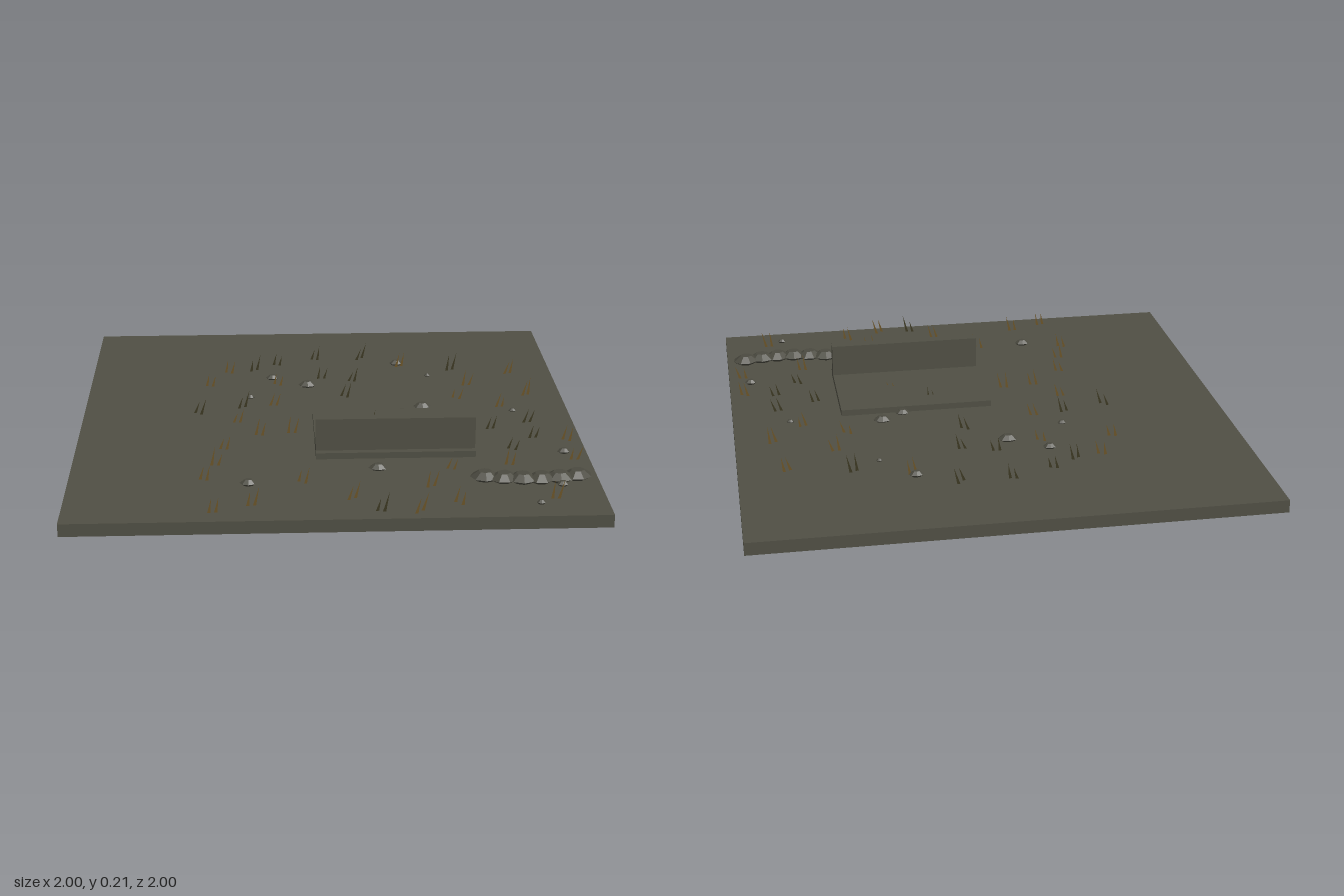
import * as THREE from 'three';

const mat = (name, color, extra = {}) => {
  const m = new THREE.MeshStandardMaterial({ color, ...extra });
  m.name = name;
  return m;
};

export function createModel() {
  const model = new THREE.Group();
  const earth = mat('earth', 0x504f44);
  const concrete = mat('concrete', 0x504f44);
  const stone = mat('stone', 0x4b4a40, { flatShading: true });
  const dryGrass = mat('dryGrass', 0x6b5428, { side: THREE.DoubleSide });
  const darkGrass = mat('darkGrass', 0x3c3822, { side: THREE.DoubleSide });

  const add = (name, geometry, material, x, y, z) => {
    const mesh = new THREE.Mesh(geometry, material);
    mesh.name = name;
    mesh.position.set(x, y, z);
    model.add(mesh);
    return mesh;
  };

  // Ground slab with a very shallow rise
  const top = 0.05;
  add('groundSlab', new THREE.BoxGeometry(2, top, 2), earth, 0, top / 2, 0);
  const rise = [[0.78, 0], [0.6, 0.003], [0.3, 0.005], [0, 0.006]].map(p => new THREE.Vector2(...p));
  add('shallowRise', new THREE.LatheGeometry(rise, 40), earth, 0.18, top, 0.175);

  // Low platform and the wall standing on it
  add('platform', new THREE.BoxGeometry(0.62, 0.03, 0.45), concrete, 0.25, 0.065, 0.247);
  add('wall', new THREE.BoxGeometry(0.62, 0.13, 0.045), concrete, 0.25, 0.145, 0.423);

  // Squat faceted lump shared by the stones and the row of bags
  const lump = new THREE.LatheGeometry(
    [[0, 0], [0.6, 0], [1, 0.4], [0.45, 1], [0, 1]].map(p => new THREE.Vector2(...p)), 8);
  const addLump = (name, x, z, rx, rz, h, turn) => {
    const mesh = add(name, lump, stone, x, top, z);
    mesh.scale.set(rx, h, rz);
    mesh.rotation.y = turn;
  };

  // Scattered stones: x, z, radius
  [[0.33, -0.57, 0.03], [0.455, -0.42, 0.013], [-0.22, -0.41, 0.028], [-0.07, -0.315, 0.04],
   [-0.315, -0.19, 0.018], [0.4, -0.05, 0.038], [0.31, 0.01, 0.03], [0.77, 0, 0.016],
   [0.91, 0.435, 0.026], [0.175, 0.57, 0.038], [-0.32, 0.69, 0.033], [0.855, 0.74, 0.024],
   [0.75, 0.895, 0.018]].forEach(([x, z, r]) => addLump('stone', x, z, r, r * 0.72, 0.008 + r * 0.5, 0));

  // Curved row of bags
  for (let i = 0; i < 6; i++) {
    const t = (i - 2.5) / 2.5;
    addLump('sandbag', 0.745 + t * 0.175, 0.7 - t * t * 0.025, 0.057, 0.05, 0.037, i % 2 * 0.35);
  }

  // Grass tufts, given as x, z; every blade is a leaning flat triangle
  const tufts = [
    [-.41, -.5], [-.49, -.34], [-.3, -.52], [-.2, -.59], [-.03, -.66], [.17, -.65], [-.53, -.03],
    [-.35, -.07], [-.37, .07], [-.22, -.11], [-.2, -.34], [-.01, -.4], [.12, -.38], [.34, -.55],
    [.56, -.49], [.81, -.45], [.61, -.31], [.55, -.14], [-.45, .5], [-.49, .64], [-.42, .35],
    [-.45, .92], [-.31, .86], [-.12, .68], [.06, .84], [.3, .95], [.16, .94], [.45, .88], [.36, .73],
    [.45, .58], [.81, .85], [.71, .4], [.81, .29], [.81, .11], [.85, -.18], [.72, -.06], [.94, .32],
    [.94, .49], [.68, .55], [.17, .12], [.32, .25], [-.15, .2], [.08, -.18], [-.28, .22], [.65, .2]];
  let seed = 11;
  const rand = () => (seed = (seed * 16807) % 2147483647) / 2147483647;
  const blades = [[], []];
  for (const [x, z] of tufts) {
    const kind = rand() < 0.55 ? 0 : 1;
    for (let b = 0; b < 2; b++) {
      const bx = x + (b - 0.5) * 0.025, bz = z + (rand() - 0.5) * 0.03;
      const h = 0.045 + rand() * 0.035, lean = 0.008 + rand() * 0.014;
      blades[kind].push(bx - 0.006, top, bz, bx + 0.006, top, bz, bx + lean, top + h, bz);
    }
  }
  blades.forEach((points, i) => {
    const g = new THREE.BufferGeometry();
    g.setAttribute('position', new THREE.Float32BufferAttribute(points, 3));
    g.computeVertexNormals();
    add(i ? 'darkGrassBlades' : 'dryGrassBlades', g, i ? darkGrass : dryGrass, 0, 0, 0);
  });

  return model;
}
